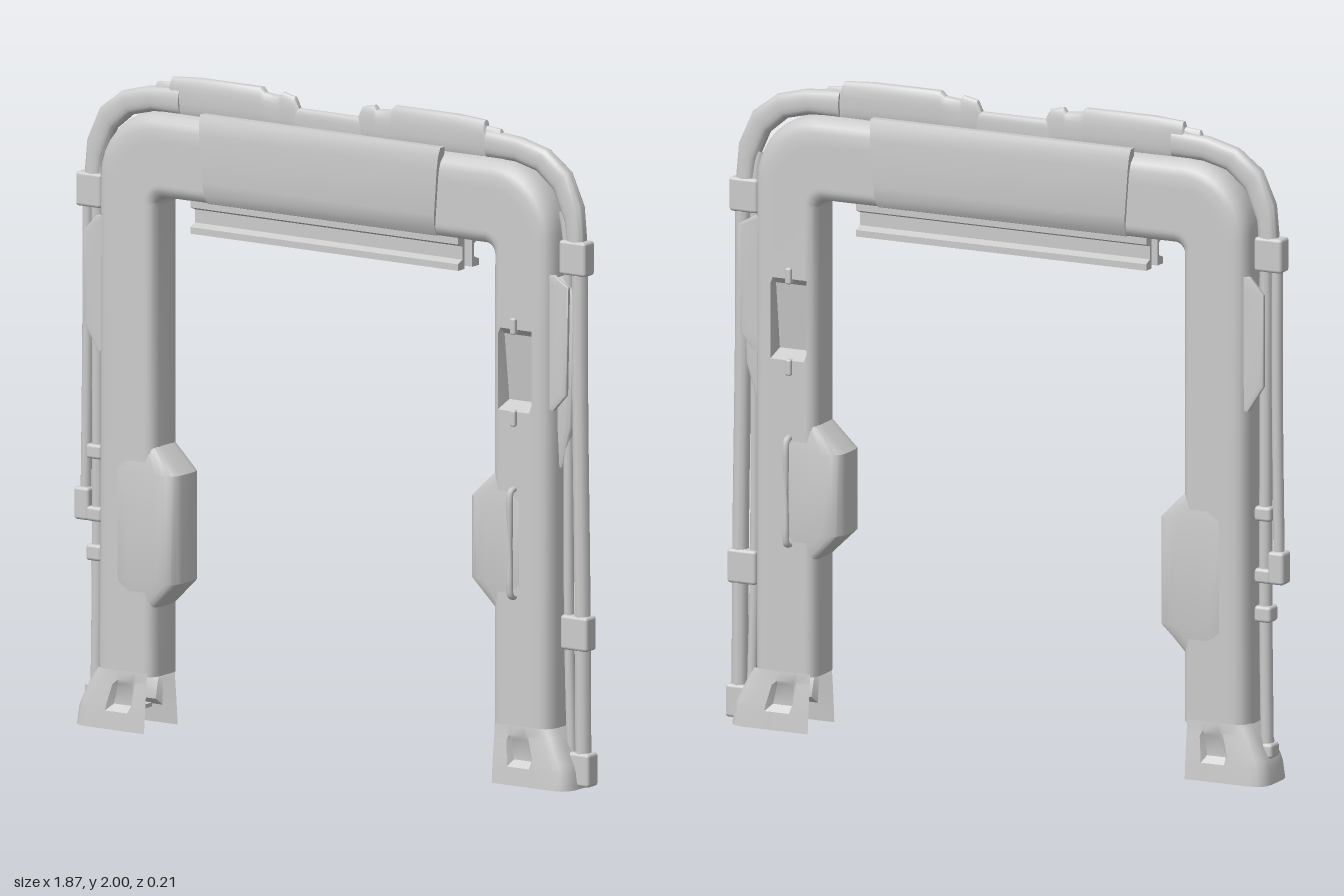
import * as THREE from 'three';
import { toCreasedNormals } from 'three/addons/utils/BufferGeometryUtils.js';
import { RoundedBoxGeometry } from 'three/addons/geometries/RoundedBoxGeometry.js';

const grey = new THREE.MeshStandardMaterial({ color: 0xcccccc });
const greyDouble = new THREE.MeshStandardMaterial({ color: 0xcccccc, side: THREE.DoubleSide });

// Cross-sections: [u, v, pocket]; u runs from inner (-1) to outer (+1) edge, v is the depth.
const ring = (half) => [...half, ...half.slice().reverse().map(([u, v, p]) => [u, -v, p])];
const oval = (power, n = 20) => Array.from({ length: n }, (_, i) => {
  const t = Math.PI * (1 - (2 * i + 1) / n), c = Math.cos(t), s = Math.sin(t);
  return [Math.sign(c) * Math.abs(c) ** (2 / power), Math.sign(s) * Math.abs(s) ** (2 / power)];
});
const frameSection = ring([[-1, 0.5], [-0.96, 0.76], [-0.87, 0.92], [-0.75, 1], [-0.66, 1, 1], [0.33, 1, 1],
  [0.41, 1], [0.65, 0.97], [0.82, 0.88], [0.94, 0.68], [1, 0.35]]);
const footSection = ring([[-1, 1], [-0.6, 1], [-0.5, 1, 1], [0, 1, 1], [0.12, 1], [0.6, 1], [0.82, 0.92], [0.95, 0.75], [1, 0.45]]);

// Skins a section along stations [innerX, innerY, outerX, outerY, halfDepth, pocketDepth],
// which run up the -x side, along the top and down the +x side.
function loft(stations, section, open = false) {
  const pos = [], idx = [], n = section.length;
  for (const [ix, iy, ox, oy, d, pocket = 0] of stations)
    for (const [u, v, p] of section) {
      const t = (u + 1) / 2;
      pos.push(ix + (ox - ix) * t, iy + (oy - iy) * t, v * d * (p ? 1 - pocket : 1));
    }
  for (let j = 0; j < stations.length - 1; j++)
    for (let i = 0; i < (open ? n - 1 : n); i++) {
      const a = j * n + i, b = j * n + (i + 1) % n;
      idx.push(a, a + n, b, b, a + n, b + n);
    }
  if (!open) [0, stations.length - 1].forEach((j, end) => {
    const [ix, iy, ox, oy] = stations[j], c = pos.length / 3;
    pos.push((ix + ox) / 2, (iy + oy) / 2, 0);
    for (let i = 0; i < n; i++) {
      const a = j * n + i, b = j * n + (i + 1) % n;
      idx.push(c, end ? b : a, end ? a : b);
    }
  });
  const g = new THREE.BufferGeometry();
  g.setAttribute('position', new THREE.Float32BufferAttribute(pos, 3));
  g.setIndex(idx);
  return toCreasedNormals(g, 0.65);
}

// Prism along x from a profile in (z, y).
function rail(points, x0, x1) {
  const g = new THREE.ExtrudeGeometry(new THREE.Shape(points.map(([z, y]) => new THREE.Vector2(-z, y))),
    { depth: x1 - x0, bevelEnabled: false });
  return g.rotateY(Math.PI / 2).translate(x0, 0, 0);
}

export function createModel() {
  const model = new THREE.Group();
  const add = (name, geometry, material = grey) => {
    const m = new THREE.Mesh(geometry, material);
    m.name = name;
    model.add(m);
    return m;
  };

  // Arch: two legs, rounded corners, beam; the pocket sits in the +x leg
  const corner = (side) => Array.from({ length: 9 }, (_, i) => {
    const a = (i / 8) * Math.PI / 2, c = Math.cos(a), s = Math.sin(a), dx = side > 0 ? -0.015 : 0;
    return [side * (0.59 + 0.03 * c) + dx, 1.6 + 0.03 * s, side * (0.62 + 0.21 * c) + dx, 1.675 + 0.21 * s, 0.07];
  });
  const rightLeg = (y, pocket = 0) => [0.605, y, 0.815, y, 0.072, pocket];
  add('archFrame', loft([
    [-0.62, 0.17, -0.835, 0.17, 0.072], [-0.62, 0.9, -0.83, 0.9, 0.072],
    ...corner(-1), ...corner(1).reverse(),
    rightLeg(1.385), rightLeg(1.365, 0.3), rightLeg(1.16, 0.65), rightLeg(1.135), rightLeg(0.17),
  ], frameSection));

  // Flared hollow feet, open on the inner side, with a small pocket on each face
  const footRows = [[0.18, 0, 0, 0.072], [0.15, 0.02, 0, 0.074], [0.135, 0.028, 0.14, 0.076],
    [0.075, 0.058, 0.22, 0.082], [0.055, 0.065, 0, 0.084], [0, 0.072, 0, 0.088]];
  const leftFoot = footRows.map(([y, f, p, d]) => [-0.64, y, -0.833 - f, y, d, p]).reverse();
  const rightFoot = footRows.map(([y, f, p, d]) => [0.62, y, 0.818 + f, y, d, p]);
  add('leftSideFoot', loft(leftFoot, footSection, true), greyDouble);
  add('rightSideFoot', loft(rightFoot, footSection, true), greyDouble);
  for (const x of [-0.75, 0.73]) add('footBracket', new THREE.BoxGeometry(0.06, 0.012, 0.14).translate(x, 0.055, 0));

  // Pods on the inner side of the legs
  add('innerPod', loft([[-0.62, 0.38, -0.74, 0.38, 0.066], [-0.54, 0.46, -0.78, 0.46, 0.077],
    [-0.54, 0.79, -0.78, 0.79, 0.077], [-0.62, 0.87, -0.74, 0.87, 0.066]], oval(4.5)));
  add('innerPod', loft([[0.605, 0.94, 0.7, 0.94, 0.066], [0.52, 0.86, 0.74, 0.86, 0.076],
    [0.52, 0.61, 0.74, 0.61, 0.076], [0.605, 0.53, 0.7, 0.53, 0.066]], oval(4.5)));

  // Front and back cover panels on the beam, slightly wider at the top
  for (const s of [1, -1]) {
    const profile = [[0.045, 1.905], [0.068, 1.905], [0.077, 1.88], [0.08, 1.84], [0.08, 1.7], [0.074, 1.66],
      [0.06, 1.635], [0.03, 1.625], [0.03, 1.8], [0.045, 1.88]].map(([z, y]) => [s * z, y]);
    const g = rail(profile, -0.43, 0.4), p = g.attributes.position;
    for (let i = 0; i < p.count; i++)
      p.setX(i, p.getX(i) + Math.sign(p.getX(i)) * 0.02 * (p.getY(i) - 1.625) / 0.28);
    add('beamPanel', toCreasedNormals(g, 0.6));

    // Outward-facing channel rails under the beam
    const channel = [[0.02, 1.635], [0.055, 1.635], [0.055, 1.615], [0.03, 1.605], [0.03, 1.565],
      [0.055, 1.555], [0.055, 1.535], [0.02, 1.535]].map(([z, y]) => [s * z, y]);
    add('underRail', rail(channel, -0.495, 0.475));

    // Grab handle, thinner in the middle, and studs around the pocket
    const path = new THREE.CatmullRomCurve3([[0.57, 0.06], [0.575, 0.088], [0.6, 0.095], [0.735, 0.09], [0.87, 0.095],
      [0.895, 0.088], [0.9, 0.06]].map(([y, z]) => new THREE.Vector3(0, y, s * z)));
    const handle = new THREE.TubeGeometry(path, 40, 0.009, 8), h = handle.attributes.position;
    for (let i = 0; i < h.count; i++)
      h.setX(i, 0.69 + h.getX(i) * Math.min(1.2, 0.45 + Math.abs(h.getY(i) - 0.735) * 8));
    add('grabHandle', handle);
    for (const y of [1.395, 1.115])
      add('pocketStud', new RoundedBoxGeometry(0.02, 0.05, 0.03, 2, 0.006).translate(0.69, y, s * 0.068));

    // Thin side fins
    add('sideFin', loft([[-0.8, 1.14, -0.835, 1.14, 0.008], [-0.8, 1.22, -0.885, 1.22, 0.008],
      [-0.8, 1.5, -0.885, 1.5, 0.008], [-0.8, 1.55, -0.84, 1.55, 0.008]], oval(5, 12)).translate(0, 0, s * 0.045));
    add('sideFin', loft([[0.78, 1.56, 0.82, 1.56, 0.008], [0.78, 1.53, 0.872, 1.53, 0.008],
      [0.78, 1.2, 0.865, 1.2, 0.008], [0.78, 1.15, 0.82, 1.15, 0.008]], oval(5, 12)).translate(0, 0, s * 0.045));
  }
  add('centreFin', loft([[0.79, 1.55, 0.825, 1.55, 0.02], [0.79, 1.5, 0.875, 1.5, 0.025],
    [0.79, 1.1, 0.862, 1.1, 0.025], [0.79, 0.97, 0.825, 0.97, 0.015]], oval(4)));

  // Outer pipe bending from each side onto the top
  const bend = [[0.85, 1.58, 0.905, 1.58], [0.85, 1.66, 0.908, 1.68], [0.84, 1.72, 0.9, 1.77], [0.8, 1.81, 0.855, 1.87],
    [0.74, 1.86, 0.775, 1.93], [0.66, 1.88, 0.68, 1.955], [0.56, 1.88, 0.56, 1.965]];
  add('cornerPipe', loft(bend.map(([a, b, c, d]) => [-a, b, -c, d, 0.025]), oval(2.5)));
  add('cornerPipe', loft(bend.map(([a, b, c, d]) => [a - 0.01, b, c - 0.01, d, 0.025]).reverse(), oval(2.5)));

  // Crest along the top: two lens-shaped pods joined by a low bar
  const crest = [[-0.66, 1.95, 0.01], [-0.65, 1.972, 0.013], [-0.6, 1.976, 0.015], [-0.595, 1.993, 0.018], [-0.5, 2, 0.022],
    [-0.27, 2, 0.022], [-0.255, 1.985, 0.02], [-0.205, 1.98, 0.018], [-0.195, 1.993, 0.018], [-0.15, 1.983, 0.015], [-0.135, 1.955, 0.01]];
  const row = ([x, y, d]) => [x, 1.87, x, y, d];
  add('topPod', loft(crest.map(row), oval(2.6)));
  add('topPod', loft(crest.map(([x, y, d]) => row([-x - 0.055, y, d])).reverse(), oval(2.6)));
  add('topBar', loft([row([-0.16, 1.95, 0.014]), row([0.11, 1.95, 0.014])], oval(3)));

  // Upright pipes beside the legs
  const pipe = (name, pts, r) => add(name, new THREE.TubeGeometry(
    new THREE.CatmullRomCurve3(pts.map(([x, y]) => new THREE.Vector3(x, y, 0))), 40, r, 10));
  pipe('outerPipe', [[-0.905, 1.64], [-0.905, 1.2], [-0.912, 0.62]], 0.017);
  pipe('innerPipe', [[-0.83, 1.79], [-0.85, 1.76], [-0.865, 1.65], [-0.867, 1.1], [-0.867, 0.5], [-0.872, 0.06]], 0.02);
  pipe('outerPipe', [[0.88, 1.64], [0.88, 1.2], [0.888, 0.6], [0.892, 0.02]], 0.025);
  pipe('innerPipe', [[0.82, 1.75], [0.835, 1.66], [0.838, 1.1], [0.84, 0.5], [0.85, 0.1]], 0.016);

  // Pipe clamps: x range, y range
  for (const [x0, x1, y0, y1] of [[-0.932, -0.84, 1.565, 1.67], [-0.895, -0.84, 0.8, 0.845], [-0.938, -0.885, 0.61, 0.71],
    [-0.895, -0.84, 0.61, 0.655], [-0.895, -0.84, 0.49, 0.54], [-0.9, -0.845, 0.075, 0.12],
    [0.82, 0.915, 1.56, 1.665], [0.825, 0.922, 0.42, 0.525], [0.845, 0.928, 0.008, 0.11]])
    add('pipeClamp', new RoundedBoxGeometry(x1 - x0, y1 - y0, 0.056, 2, 0.01)
      .translate((x0 + x1) / 2, (y0 + y1) / 2, 0));

  return model;
}
